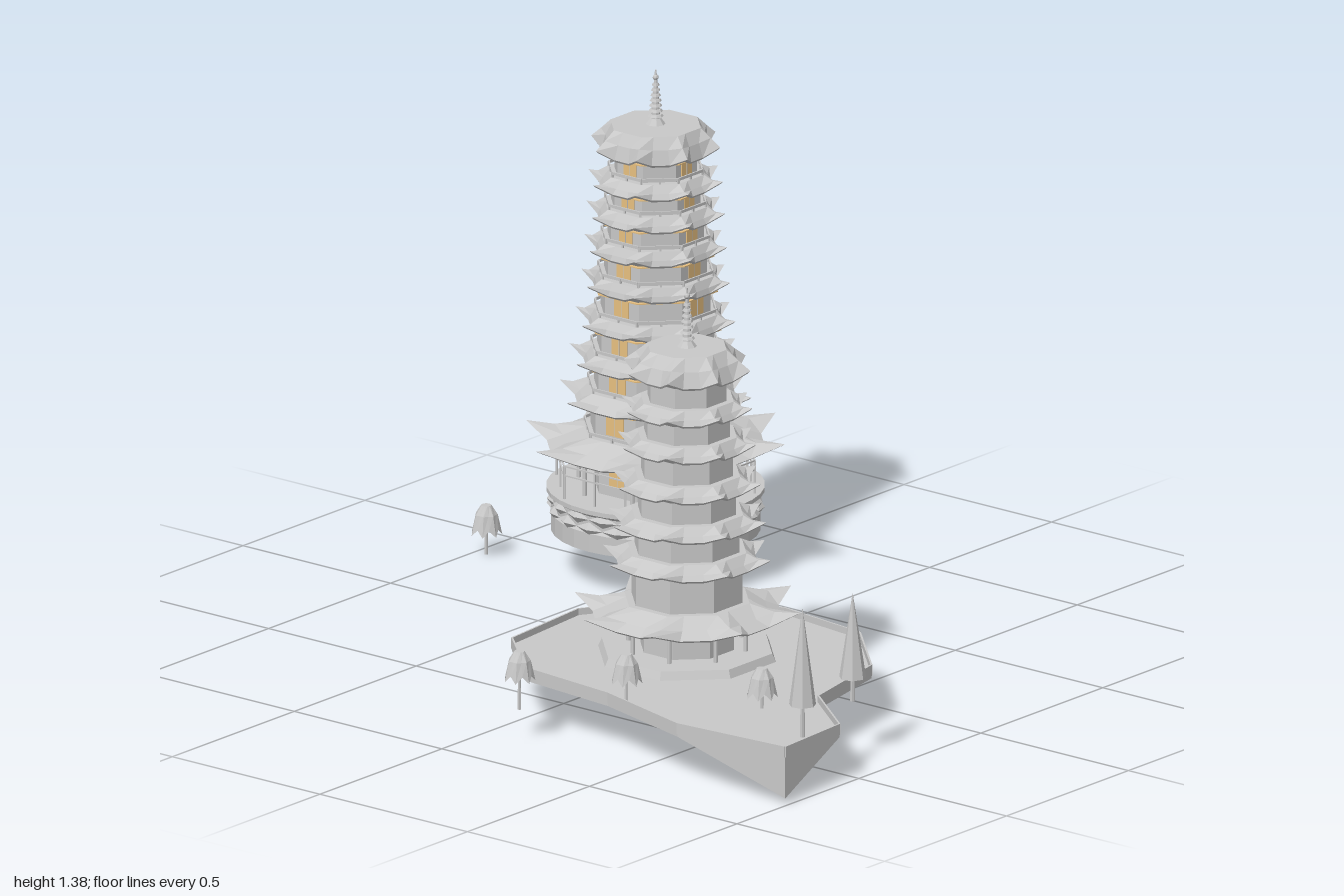
import * as THREE from 'three';

const stone = new THREE.MeshStandardMaterial({ color: 0xc8c8c8, flatShading: true });
stone.name = 'stone grey';
const gold = new THREE.MeshStandardMaterial({ color: 0xe6bf80, flatShading: true });
gold.name = 'lamp gold';

const C8 = Math.cos(Math.PI / 8), T8 = Math.tan(Math.PI / 8);
const V = (x, y, z) => new THREE.Vector3(x, y, z);

function add(parent, name, geo, x = 0, y = 0, z = 0, ry = 0, mat = stone) {
  const m = new THREE.Mesh(geo, mat);
  m.name = name;
  m.position.set(x, y, z);
  m.rotation.y = ry;
  parent.add(m);
  return m;
}

// Closed solid through rings, listed bottom to top, each counter-clockwise from above
function loft(rings) {
  const pts = [];
  const n = rings[0].length;
  const mean = r => r.reduce((s, p) => s.add(p), V(0, 0, 0)).divideScalar(n);
  const first = rings[0], last = rings[rings.length - 1];
  const lo = mean(first), hi = mean(last);
  for (let i = 0; i < n; i++) {
    const j = (i + 1) % n;
    pts.push(lo, first[j], first[i], hi, last[i], last[j]);
    for (let k = 0; k + 1 < rings.length; k++) {
      const a = rings[k], b = rings[k + 1];
      pts.push(a[i], a[j], b[j], a[i], b[j], b[i]);
    }
  }
  const g = new THREE.BufferGeometry().setFromPoints(pts);
  g.computeVertexNormals();
  return g;
}

// Eight-sided ring with pulled-in sides and lifted corners
function eaveRing(apothem, pull, y, lift) {
  const ring = [];
  for (let k = 0; k < 8; k++) {
    const a = k * Math.PI / 4, c = Math.cos(a), s = Math.sin(a);
    for (const t of [-1, -0.35, 0.35]) {
      const d = t === -1 ? apothem : apothem * pull, l = t * apothem * T8;
      ring.push(V(c * d - s * l, y + (t === -1 ? lift : 0), -s * d - c * l));
    }
  }
  return ring;
}

const octagon = (top, bottom, h) =>
  new THREE.CylinderGeometry(top / C8, bottom / C8, h, 8).rotateY(Math.PI / 8);

function roof(half, inner, tip, topY, lift, bulge) {
  const low = tip - lift, mid = inner + (half - inner) * 0.5;
  return loft([
    eaveRing(inner * 0.9, 1, low + 0.006, 0),
    eaveRing(half * 0.97, 0.86, low - 0.006, lift),
    eaveRing(half, 0.86, low, lift),
    eaveRing(mid, 0.94, low + (topY - low) * bulge, lift * 0.3),
    eaveRing(inner, 1, topY, 0),
  ]);
}

// Railing along one side of an octagon
function railSide(parent, apothem, y, h, angle) {
  const side = new THREE.Group(), w = 2 * apothem * T8;
  side.name = 'railing';
  for (const f of [0.72, 1]) add(side, 'rail', new THREE.BoxGeometry(w, 0.004, 0.004), 0, h * f, apothem);
  for (const f of [-0.5, 0, 0.5])
    add(side, 'railPost', new THREE.BoxGeometry(0.005, h, 0.005), w * f, h / 2, apothem);
  side.position.y = y;
  side.rotation.y = angle;
  parent.add(side);
}

function spire(parent, y, h) {
  const g = new THREE.Group();
  g.name = 'spire';
  add(g, 'spireBase', new THREE.CylinderGeometry(0.014, 0.026, 0.016, 8), 0, 0.008);
  add(g, 'spirePole', new THREE.CylinderGeometry(0.002, 0.014, h, 8), 0, h / 2);
  for (let i = 0; i < 7; i++) {
    const r = 0.021 - i * 0.0018;
    add(g, 'spireRing', new THREE.CylinderGeometry(r * 0.8, r, 0.006, 8), 0, 0.024 + i * h * 0.095);
  }
  add(g, 'spireBall', new THREE.SphereGeometry(0.008, 8, 6), 0, h * 0.86);
  g.position.y = y;
  parent.add(g);
}

function pagoda(name, o) {
  const g = new THREE.Group();
  g.name = name;
  const n = o.tips.length;
  const wall = i => i === 0 ? o.ground : o.wide + (o.narrow - o.wide) * (i - 1) / (n - 2);
  let floor = o.floor;
  for (let i = 0; i < n; i++) {
    const a = wall(i), tip = o.tips[i], half = o.halves[i], top = i === n - 1;
    const lift = i === 0 ? 0.028 : 0.022, low = tip - lift;
    const roofTop = top ? o.cap : tip + 0.014;
    const y0 = floor - 0.01, y1 = low + 0.015;
    add(g, 'storeyWall', octagon(a, a, y1 - y0), 0, (y0 + y1) / 2);
    add(g, 'bracketBand', octagon(a + 0.016, a + 0.004, 0.014), 0, low - 0.002);
    add(g, top ? 'crownRoof' : 'roof', roof(half, top ? o.capHalf : wall(i + 1) + 0.018, tip, roofTop, lift, top ? 0.55 : 0.4));
    if (o.lit) {
      if (i > 0) for (let k = 0; k < 8; k++) railSide(g, a + 0.014, floor, 0.013, k * Math.PI / 4);
      // Glowing windows on the four main sides, thin gold band under the eave
      const h = Math.min(0.062, (low - floor) * 0.66), w = i === 0 ? 0.056 : Math.max(0.042, a * 0.36);
      for (let k = 0; k < 4; k++) {
        const win = new THREE.Group();
        win.name = 'window';
        add(win, 'windowPane', new THREE.BoxGeometry(w, h, 0.004), 0, 0, a, 0, gold);
        add(win, 'windowBar', new THREE.BoxGeometry(0.002, h, 0.006), 0, 0, a);
        win.position.y = (floor + low) / 2;
        win.rotation.y = k * Math.PI / 2;
        g.add(win);
      }
      add(g, 'eaveLight', octagon(a + 0.018, a + 0.018, 0.003), 0, low - 0.005, 0, 0, gold);
    }
    floor = roofTop;
  }
  // Porch columns
  for (let k = 0; k < 8; k++) {
    const t = (k + 0.5) * Math.PI / 4, h = o.tips[0] - 0.02 - o.floor;
    add(g, 'column', new THREE.CylinderGeometry(0.006, 0.006, h, 8),
      Math.cos(t) * o.columns, o.floor + h / 2, Math.sin(t) * o.columns);
  }
  spire(g, o.cap, o.spire);
  g.position.set(o.x, 0, o.z);
  return g;
}

function coneTree(x, y, z, skirt, top) {
  const g = new THREE.Group();
  g.name = 'tallTree';
  add(g, 'trunk', new THREE.CylinderGeometry(0.006, 0.007, skirt - y, 6), 0, (y + skirt) / 2);
  add(g, 'foliage', new THREE.ConeGeometry(0.036, top - skirt, 7), 0, (top + skirt) / 2);
  g.position.set(x, 0, z);
  return g;
}

// Small tree with a drooping, pointed canopy
function droopTree(x, y, z, top) {
  const g = new THREE.Group();
  g.name = 'smallTree';
  const ring = (r, ty, zig, droop) => Array.from({ length: 14 }, (_, i) => {
    const t = i * Math.PI / 7, q = i % 2;
    return V(Math.cos(t) * r * (q ? zig : 1), ty + (q ? droop : 0), -Math.sin(t) * r * (q ? zig : 1));
  });
  add(g, 'trunk', new THREE.CylinderGeometry(0.004, 0.005, top - y - 0.02, 6), 0, (y + top - 0.02) / 2);
  add(g, 'canopy', loft([ring(0.012, top - 0.045, 1, 0), ring(0.042, top - 0.08, 0.85, 0.018),
    ring(0.03, top - 0.025, 0.88, 0), ring(0.014, top, 1, 0)]));
  g.position.set(x, 0, z);
  return g;
}

export function createModel() {
  const model = new THREE.Group();
  model.name = 'twinPagodas';

  // Floating island: flat top, two deep corners, raised middle beneath
  const shore = [[-0.53, -0.15], [-0.23, -0.175], [0.03, -0.015, 0], [0.12, 0.235], [0.085, 0.52], [-0.11, 0.72],
    [-0.4, 0.78], [-0.55, 0.975], [-0.79, 0.99, 0.015], [-0.815, 0.645], [-0.73, 0.34], [-0.7, 0.035]].reverse();
  add(model, 'island', loft([
    shore.map(() => V(-0.39, 0.105, 0.41)),
    shore.map(([x, z, y = 0.12]) => V(x, y, z)),
    shore.map(([x, z]) => V(x, 0.14, z)),
  ]));
  // Low parapet along the shore
  shore.forEach(([x, z], i) => {
    const [x2, z2] = shore[(i + 1) % shore.length];
    add(model, 'parapet', new THREE.BoxGeometry(Math.hypot(x2 - x, z2 - z), 0.03, 0.005),
      (x + x2) / 2, 0.143, (z + z2) / 2, -Math.atan2(z2 - z, x2 - x));
  });

  // Smaller pagoda on the island
  const small = pagoda('smallPagoda', {
    x: -0.302, z: 0.254, floor: 0.16, ground: 0.118, wide: 0.14, narrow: 0.1, columns: 0.16,
    tips: [0.28, 0.417, 0.52, 0.625, 0.732, 0.83, 0.932],
    halves: [0.284, 0.212, 0.2, 0.188, 0.175, 0.165, 0.16],
    cap: 0.984, capHalf: 0.1, spire: 0.16,
  });
  add(small, 'plinth', octagon(0.215, 0.225, 0.024), 0, 0.15);
  railSide(small, 0.225, 0.14, 0.068, Math.PI * 0.75);
  model.add(small);

  // Larger lit pagoda on a round carved base
  const large = pagoda('largePagoda', {
    x: 0.523, z: -0.534, floor: 0.238, ground: 0.155, wide: 0.165, narrow: 0.104, columns: 0.21, lit: true,
    tips: [0.38, 0.5, 0.602, 0.705, 0.81, 0.906, 0.998, 1.085, 1.178],
    halves: [0.327, 0.243, 0.217, 0.202, 0.188, 0.18, 0.175, 0.17, 0.163],
    cap: 1.227, capHalf: 0.114, spire: 0.148,
  });
  const profile = [[0, 0.12], [0.275, 0.12], [0.275, 0.17], [0.268, 0.18], [0.268, 0.215], [0.286, 0.226], [0.286, 0.238], [0, 0.238]];
  add(large, 'roundBase', new THREE.LatheGeometry(profile.map(p => new THREE.Vector2(...p)), 32));
  for (let row = 0; row < 2; row++) for (let k = 0; k < 20; k++) {
    const t = (k + row / 2) * Math.PI / 10;
    const petal = add(large, 'basePetal', new THREE.OctahedronGeometry(1),
      Math.sin(t) * 0.272, 0.182 + row * 0.026, Math.cos(t) * 0.272, t);
    petal.scale.set(0.044, 0.018, 0.014);
  }
  for (let k = 0; k < 8; k++) railSide(large, 0.25, 0.238, 0.09, k * Math.PI / 4);
  model.add(large);

  // Hanging rocks beside the round base
  for (const [x, y, z, r, h] of [[0.308, 0.1, -0.375, 0.037, 0.14], [0.34, 0.12, -0.315, 0.028, 0.08]])
    add(model, 'hangingRock', new THREE.ConeGeometry(r, h, 4).rotateX(Math.PI), x, y, z, 0.3);

  // Trees
  model.add(coneTree(-0.655, 0.14, 0.937, 0.228, 0.495), coneTree(-0.36, 0.15, 0.863, 0.215, 0.447));
  for (const [x, y, z, top] of [[-0.815, 0.085, 0.11, 0.245], [-0.715, 0.14, 0.39, 0.27],
    [-0.535, 0.13, 0.7, 0.25], [0.35, 0, -0.965, 0.135]]) model.add(droopTree(x, y, z, top));

  return model;
}
